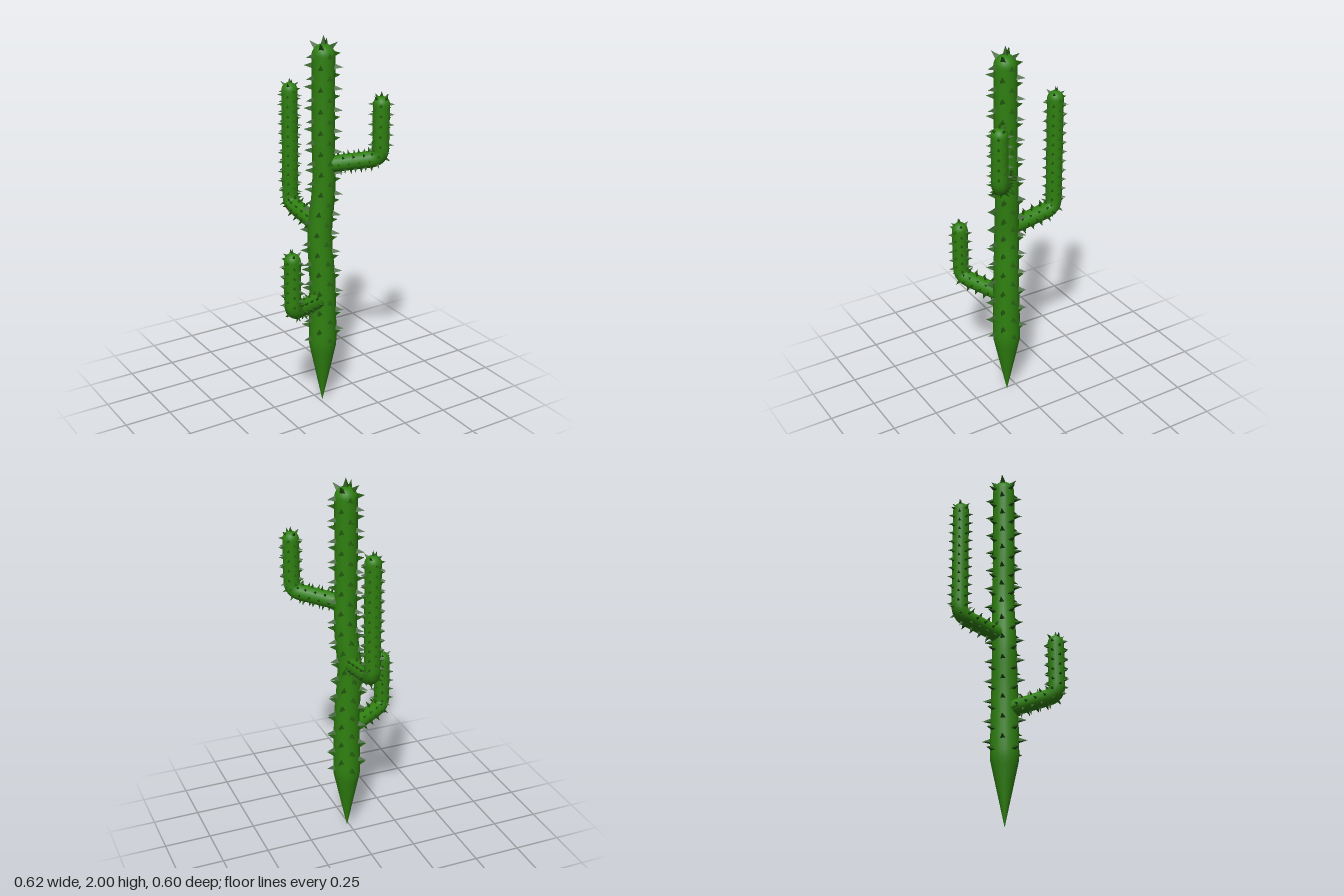
import * as THREE from 'three';
import { mergeGeometries } from 'three/addons/utils/BufferGeometryUtils.js';

const V = (x, y, z) => new THREE.Vector3(x, y, z);
const SIDES = 20;

// Position and axes of a limb at distance d along its curve
function frameAt(curve, d, side) {
  const u = THREE.MathUtils.clamp(d / curve.getLength(), 0, 1);
  const P = curve.getPointAt(u);
  const T = curve.getTangentAt(u);
  const B = T.clone().cross(side).normalize();
  const N = B.clone().cross(T).normalize();
  return { P, T, N, B };
}

const around = (f, a) => f.N.clone().multiplyScalar(Math.cos(a)).addScaledVector(f.B, Math.sin(a));

// Round body swept along the curve, closed by a dome at the far end
function bodyGeometry(curve, radius, tip, side) {
  const L = curve.getLength();
  const stops = [];
  for (let i = 0; i <= 56; i++) stops.push([(L - tip) * i / 56, radius((L - tip) * i / 56)]);
  for (let i = 1; i <= 8; i++) {
    const a = i / 8 * Math.PI / 2;
    stops.push([L - tip + tip * Math.sin(a), Math.max(tip * Math.cos(a), 0.0002)]);
  }
  const pos = [], index = [];
  stops.forEach(([d, r], i) => {
    const f = frameAt(curve, d, side);
    for (let j = 0; j < SIDES; j++) {
      const p = f.P.clone().addScaledVector(around(f, j / SIDES * Math.PI * 2), r);
      pos.push(p.x, p.y, p.z);
      if (i < stops.length - 1) {
        const a = i * SIDES + j, b = i * SIDES + (j + 1) % SIDES;
        index.push(a, b, a + SIDES, b, b + SIDES, a + SIDES);
      }
    }
  });
  const g = new THREE.BufferGeometry();
  g.setAttribute('position', new THREE.Float32BufferAttribute(pos, 3));
  g.setIndex(index);
  g.computeVertexNormals();
  return g;
}

// One faceted spine, its base slightly sunk into the body
function spine(base, dir, up, len, r, sides) {
  const g = new THREE.ConeGeometry(r, len, sides).toNonIndexed();
  g.computeVertexNormals();
  g.translate(0, len / 2 - 0.004, 0);
  const x = dir.clone().cross(up).normalize();
  const m = new THREE.Matrix4().makeBasis(x, dir, x.clone().cross(dir)).setPosition(base);
  return g.applyMatrix4(m);
}

// Staggered rows of four spines, plus a crown on the dome
function spineGeometry(curve, radius, tip, side, from, step, len, r) {
  const L = curve.getLength(), list = [];
  for (let i = 0, d = L - tip; d > from; i++, d -= step / 2) {
    const f = frameAt(curve, d, side);
    for (let k = 0; k < 4; k++) {
      const dir = around(f, (k + (i % 2) / 2) * Math.PI / 2);
      list.push(spine(f.P.clone().addScaledVector(dir, radius(d)), dir, f.T, len, r, 3));
    }
  }
  const f = frameAt(curve, L - tip, side);
  for (let k = 0; k < 4; k++) {
    const dir = around(f, (k + 0.5) * Math.PI / 2).add(f.T).normalize();
    list.push(spine(f.P.clone().addScaledVector(dir, tip), dir, f.T, len, r, 3));
  }
  list.push(spine(f.P.clone().addScaledVector(f.T, tip), f.T, f.N, len, r, 4));
  return mergeGeometries(list);
}

export function createModel() {
  const skin = new THREE.MeshStandardMaterial({ color: 0x2f8010 });
  skin.name = 'cactus green';
  const thorn = new THREE.MeshStandardMaterial({ color: 0x22560f });
  thorn.name = 'dark spine green';
  const model = new THREE.Group();
  model.name = 'cactus';

  function limb(name, curve, radius, tip, side, from, step, len, r) {
    const group = new THREE.Group();
    group.name = name;
    const body = new THREE.Mesh(bodyGeometry(curve, radius, tip, side), skin);
    body.name = name + 'Body';
    const spines = new THREE.Mesh(spineGeometry(curve, radius, tip, side, from, step, len, r), thorn);
    spines.name = name + 'Spines';
    group.add(body, spines);
    model.add(group);
  }

  // Trunk: pointed foot, slight bend in the middle
  const trunk = new THREE.CatmullRomCurve3([
    V(0.013, 0, 0.063), V(0.013, 0.35, 0.064), V(0.011, 0.7, 0.064), V(0, 0.97, 0.054),
    V(0.018, 1.22, 0.062), V(0.013, 1.5, 0.064), V(0.013, 1.957, 0.064),
  ]);
  const lerp = THREE.MathUtils.mapLinear;
  const trunkRadius = d => d < 0.35 ? Math.max(0.0002, 0.074 * d / 0.35)
    : d < 1.3 ? lerp(d, 0.35, 1.3, 0.074, 0.058) : 0.058;
  limb('trunk', trunk, trunkRadius, 0.058, V(1, 0, 0), 0.36, 0.108, 0.046, 0.017);

  // Arms: out from the trunk, round the elbow, then straight up
  const arms = [
    ['leftArm', V(0.013, 1.34, 0.062), V(0.242, 1.385, 0.235), 1.703],
    ['rightArm', V(0.012, 0.605, 0.064), V(-0.247, 0.64, 0.193), 0.963],
    ['backArm', V(0.002, 1.005, 0.056), V(-0.003, 1.05, -0.235), 1.703],
  ];
  for (const [name, start, elbow, top] of arms) {
    const out = elbow.clone().sub(start).normalize();
    const before = elbow.clone().addScaledVector(out, -0.05);
    const after = elbow.clone().add(V(0, 0.05, 0));
    const curve = new THREE.CurvePath();
    curve.add(new THREE.LineCurve3(start, before));
    curve.add(new THREE.QuadraticBezierCurve3(before, elbow, after));
    curve.add(new THREE.LineCurve3(after, V(elbow.x, top, elbow.z)));
    const side = V(out.z, 0, -out.x).normalize();
    limb(name, curve, () => 0.042, 0.042, side, 0.08, 0.052, 0.028, 0.01);
  }
  return model;
}
